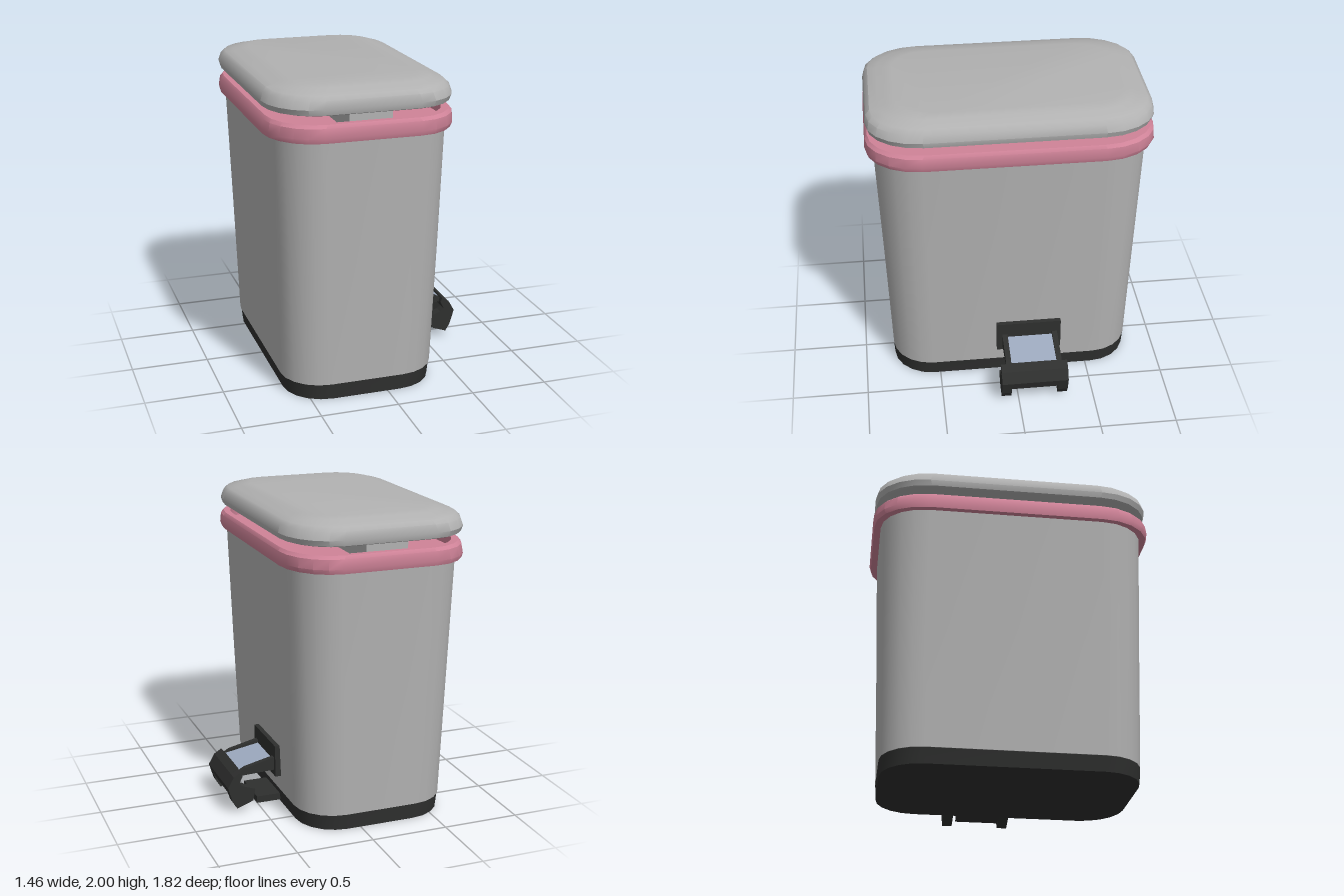
import * as THREE from 'three';
import { toCreasedNormals } from 'three/addons/utils/BufferGeometryUtils.js';

const material = (name, color) => new THREE.MeshStandardMaterial({ name, color });

// Rounded-rectangle loft. Each ring is [y, left x, right x, half depth, corner x, corner z].
function loft(rings, steps = 5) {
  const pos = [], idx = [];
  for (const [y, x0, x1, hz, rx, rz] of rings) {
    for (let q = 0; q < 4; q++) {
      const sx = q === 0 || q === 3 ? 1 : -1, sz = q < 2 ? 1 : -1;
      const cx = sx > 0 ? x1 - rx : x0 + rx, cz = sz * (hz - rz);
      for (let i = 0; i <= steps; i++) {
        const a = (q + i / steps) * Math.PI / 2;
        pos.push(cx + rx * Math.cos(a), y, cz + rz * Math.sin(a));
      }
    }
  }
  const n = 4 * (steps + 1), last = (rings.length - 1) * n;
  for (let r = 0; r < rings.length - 1; r++) {
    for (let j = 0; j < n; j++) {
      const a = r * n + j, b = r * n + (j + 1) % n;
      idx.push(a, a + n, b, b, a + n, b + n);
    }
  }
  // Close both ends
  for (let j = 1; j < n - 1; j++) {
    idx.push(0, j, j + 1, last, last + j + 1, last + j);
  }
  const g = new THREE.BufferGeometry();
  g.setAttribute('position', new THREE.Float32BufferAttribute(pos, 3));
  g.setIndex(idx);
  return toCreasedNormals(g, 0.6);
}

// Side profile in x and y, extruded from z0 to z1
function profile(points, z0, z1) {
  const shape = new THREE.Shape(points.map(p => new THREE.Vector2(...p)));
  return new THREE.ExtrudeGeometry(shape, { depth: z1 - z0, bevelEnabled: false }).translate(0, 0, z0);
}

export function createModel() {
  const grey = material('brushed grey', 0xb2b2b2);
  const pink = material('pink', 0xcf8398);
  const dark = material('dark plastic', 0x2e2f2e);
  const blue = material('pale blue', 0x9daabf);

  const model = new THREE.Group();
  model.name = 'pedalBin';
  const add = (name, geometry, mat, parent = model) => {
    const mesh = new THREE.Mesh(geometry, mat);
    mesh.name = name;
    parent.add(mesh);
    return mesh;
  };

  // Tapered bin wall on a dark foot
  add('base', loft([
    [0, -0.62, 0.345, 0.8, 0.26, 0.26],
    [0.1, -0.63, 0.355, 0.805, 0.26, 0.26],
  ]), dark);
  add('body', loft([
    [0.1, -0.635, 0.36, 0.805, 0.26, 0.26],
    [0.9, -0.66, 0.39, 0.83, 0.26, 0.27],
    [1.72, -0.69, 0.42, 0.86, 0.27, 0.3],
  ]), grey);

  // Rim collar, open in the middle
  add('rim', loft([
    [1.69, -0.68, 0.41, 0.85, 0.28, 0.32],
    [1.69, -0.725, 0.45, 0.9, 0.29, 0.34],
    [1.72, -0.73, 0.46, 0.91, 0.29, 0.34],
    [1.78, -0.72, 0.455, 0.905, 0.29, 0.34],
    [1.8, -0.705, 0.44, 0.89, 0.29, 0.34],
    [1.8, -0.67, 0.4, 0.85, 0.27, 0.32],
    [1.73, -0.67, 0.4, 0.85, 0.27, 0.32],
  ]), pink);

  // Narrow support carrying the lid above the rim
  add('lidSupport', new THREE.BoxGeometry(0.27, 0.14, 1.68).translate(-0.135, 1.79, 0), grey);

  // Domed lid with a raised panel
  add('lid', loft([
    [1.85, -0.7, 0.43, 0.88, 0.28, 0.33],
    [1.855, -0.72, 0.445, 0.89, 0.29, 0.34],
    [1.89, -0.73, 0.455, 0.9, 0.29, 0.34],
    [1.94, -0.715, 0.44, 0.89, 0.29, 0.34],
    [1.965, -0.69, 0.415, 0.865, 0.28, 0.33],
    [1.975, -0.64, 0.37, 0.81, 0.26, 0.3],
    [1.99, -0.6, 0.34, 0.77, 0.23, 0.26],
    [2.0, -0.54, 0.28, 0.71, 0.2, 0.22],
  ]), grey);

  // Pedal assembly on the side wall
  const pedal = new THREE.Group();
  pedal.name = 'pedal';
  model.add(pedal);
  add('pedalBracket', new THREE.BoxGeometry(0.04, 0.21, 0.43).translate(0.383, 0.315, -0.1), dark, pedal);
  add('pedalTab', new THREE.BoxGeometry(0.18, 0.045, 0.28).translate(0.42, 0.035, -0.11), dark, pedal);

  // Arm cheeks, floor and inset tread
  const cheek = [[0.39, 0.25], [0.63, 0.24], [0.67, 0.25], [0.6, 0.29], [0.39, 0.34]];
  add('armLeft', profile(cheek, 0.045, 0.08), dark, pedal);
  add('armRight', profile(cheek, -0.29, -0.255), dark, pedal);
  add('armFloor', profile([[0.39, 0.25], [0.64, 0.24], [0.64, 0.265], [0.39, 0.31]], -0.26, 0.05), dark, pedal);
  add('tread', profile([[0.4, 0.309], [0.635, 0.267], [0.635, 0.273], [0.4, 0.315]], -0.255, 0.045), blue, pedal);

  // Curved toe bar with a hooked leg at each end
  add('toeBar', profile([[0.6, 0.13], [0.71, 0.12], [0.73, 0.18], [0.69, 0.25], [0.64, 0.285], [0.625, 0.25], [0.655, 0.2]],
    -0.26, 0.05), dark, pedal);
  const hook = [[0.545, 0.15], [0.56, 0.07], [0.67, 0.03], [0.7, 0.08], [0.73, 0.18], [0.69, 0.25], [0.64, 0.28],
    [0.63, 0.25], [0.655, 0.2], [0.63, 0.18]];
  add('hookLeft', profile(hook, 0.05, 0.115), dark, pedal);
  add('hookRight', profile(hook, -0.325, -0.26), dark, pedal);

  return model;
}
